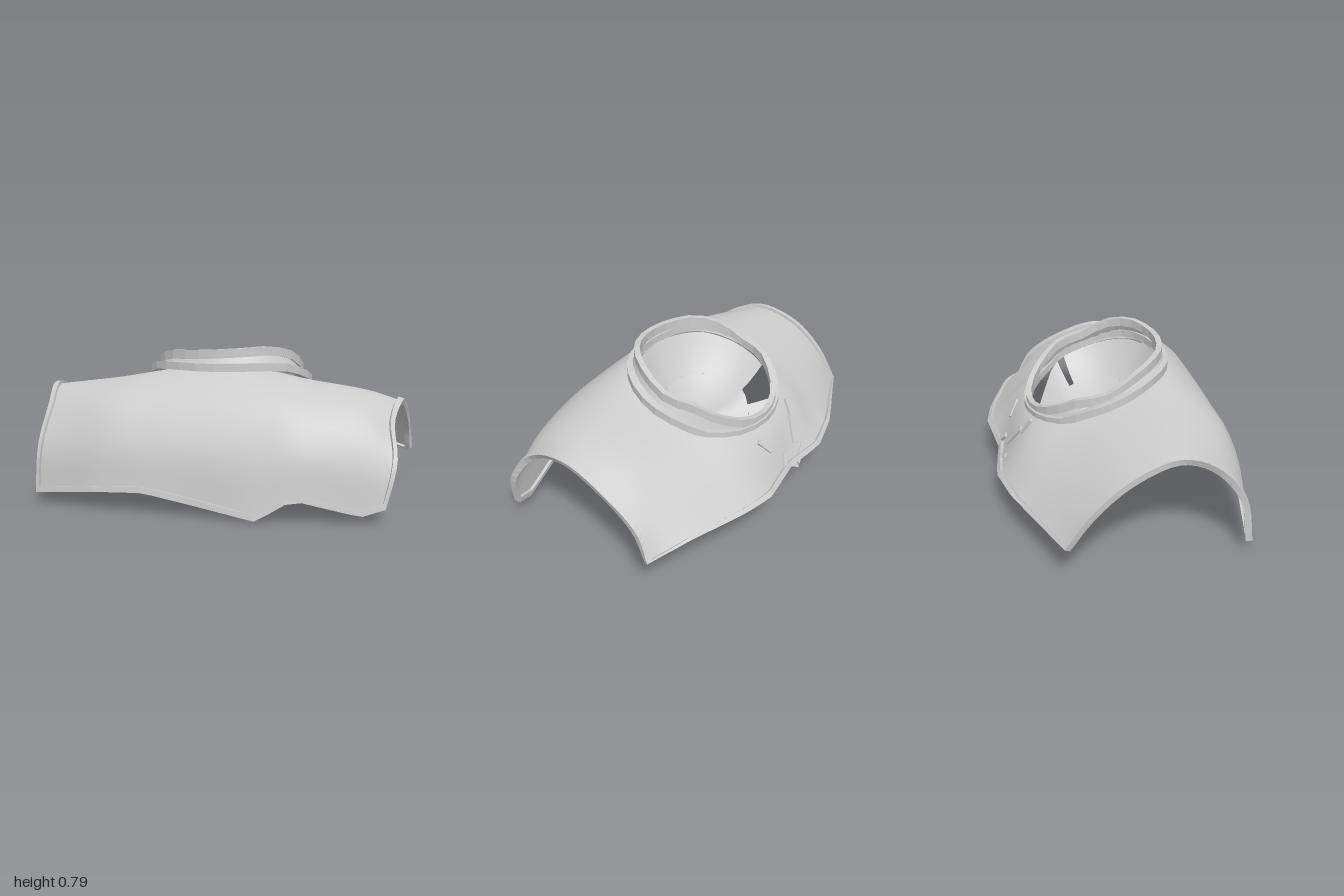
import * as THREE from 'three';

const V = (x, y, z) => new THREE.Vector3(x, y, z);
const D = Math.PI / 180;

// Piecewise linear lookup in a list of [key, value] pairs with rising keys
function lookup(table, k) {
  for (let i = 1; i < table.length; i++) {
    const [a, p] = table[i - 1], [b, q] = table[i];
    if (k <= b || i === table.length - 1) return p + (q - p) * THREE.MathUtils.clamp((k - a) / (b - a), 0, 1);
  }
}

// Skin between rows of points; wrapRow joins each row's ends, wrapAll joins last row to first
function loft(rows, wrapRow, wrapAll, flat) {
  const n = rows[0].length, m = rows.length, idx = [];
  for (let i = 0; i < (wrapAll ? m : m - 1); i++) {
    for (let j = 0; j < (wrapRow ? n : n - 1); j++) {
      const a = i * n + j, b = i * n + (j + 1) % n;
      const c = ((i + 1) % m) * n + j, d = ((i + 1) % m) * n + (j + 1) % n;
      idx.push(a, b, c, b, d, c);
    }
  }
  let geo = new THREE.BufferGeometry().setFromPoints(rows.flat());
  geo.setIndex(idx);
  if (flat) geo = geo.toNonIndexed();
  geo.computeVertexNormals();
  return geo;
}

// Draped cloth: cross-sections from front hem to back hem at stations across x
const sections = [
  [[-.87, .06, .52], [-.87, .29, .48], [-.875, .47, .34], [-.93, .57, .14], [-.97, .51, -.08], [-.98, .37, -.25], [-.97, .2, -.37]],
  [-.5, [.10, .60], [.34, .56], [.53, .45], [.63, .22], [.565, -.1], [.42, -.34], [.21, -.57]],
  [-.27, [.11, .61], [.34, .57], [.56, .44], [.67, .23], [.6, -.1], [.45, -.41], [.2, -.62]],
  [0, [.06, .61], [.34, .57], [.58, .43], [.69, .24], [.61, -.1], [.45, -.45], [.21, -.59]],
  [.29, [.01, .635], [.33, .575], [.56, .44], [.67, .23], [.6, -.1], [.45, -.41], [.22, -.635]],
  [.46, [.115, .61], [.34, .57], [.53, .45], [.635, .22], [.575, -.09], [.435, -.36], [.23, -.605]],
  [.77, [.04, .545], [.3, .51], [.49, .4], [.58, .17], [.53, -.1], [.395, -.32], [.24, -.5]],
  [[.88, .075, .52], [.925, .28, .47], [.9, .44, .345], [.935, .525, .11], [.955, .468, -.11], [.97, .34, -.32], [.98, .2, -.39]],
].map(s => new THREE.CatmullRomCurve3(typeof s[0] === 'number'
  ? s.slice(1).map(([y, z]) => V(s[0], y, z)) : s.map(p => V(...p))));
const stationIndex = [[-1, 0], [-.5, 1], [-.27, 2], [0, 3], [.29, 4], [.46, 5], [.77, 6], [1, 7]];

// Smooth over the body, with straight runs between the corners of the hems
function clothPoint(x, t) {
  const stations = sections.map(c => c.getPoint(THREE.MathUtils.clamp(t / 6, 0, 1)));
  const s = lookup(stationIndex, x), i = Math.min(Math.floor(s), 6);
  const straight = stations[i].clone().lerp(stations[i + 1], s - i);
  const smooth = new THREE.CatmullRomCurve3(stations).getPoint(s / 7);
  return smooth.lerp(straight, THREE.MathUtils.clamp(Math.abs(t - 3) - 2, 0, 1));
}

// Point on the cloth's outer rectangle, q running 0..4 around its sides
function perimeter(q) {
  const side = Math.floor(q) % 4, f = (q % 1) * 2 - 1;
  return [[f, -1], [1, f], [-f, 1], [-1, -f]][side];
}

// Rows of the cloth from the neck opening out to the hem
function clothRows() {
  const rows = [], count = 112, rings = 14;
  for (let k = 0; k <= rings; k++) {
    const row = [];
    for (let j = 0; j < count; j++) {
      const [px, pt] = perimeter(j * 4 / count);
      const a = Math.atan2(pt, px), f = k / rings;
      const hx = .01 + .4 * Math.cos(a), ht = 3.95 + 1.05 * Math.sin(a);
      row.push(clothPoint(hx + (px - hx) * f, ht + (3 + 3 * pt - ht) * f));
    }
    rows.push(row);
  }
  return rows;
}

// Rectangular trim folded along the hem
function hemTrim(rows) {
  const edge = rows.at(-1), inner = rows.at(-2), n = edge.length;
  return loft(edge.map((p, j) => {
    const along = edge[(j + 1) % n].clone().sub(edge[(j + n - 1) % n]);
    const inward = inner[j].clone().sub(p);
    const up = along.clone().cross(inward).normalize().multiplyScalar(.016);
    inward.normalize().multiplyScalar(.03);
    const q = p.clone().add(inward);
    return [p.clone().add(up), q.clone().add(up), q.clone().sub(up), p.clone().sub(up)];
  }), true, true, true);
}

// Neck ring heights against z
const lowerY = [[-.46, .455], [-.3, .51], [-.2, .57], [0, .64], [.15, .69], [.25, .7], [.31, .695]];
const upperY = [[-.46, .465], [-.35, .545], [-.22, .63], [-.1, .645], [.08, .735], [.18, .765], [.28, .762]];

function ringPoint(a, cz, rx, rz, table, tilt) {
  const x = .01 + rx * Math.cos(a), z = cz + rz * Math.sin(a);
  return V(x, lookup(table, z) + tilt * x, z);
}

// Flat-sided collar band of rectangular section
function neckBand(cz, rx, rz, table, tilt, h, w) {
  const rows = [];
  for (let i = 0; i < 28; i++) {
    const a = i / 28 * Math.PI * 2;
    const out = ringPoint(a, cz, rx, rz, table, tilt);
    const inn = out.clone().add(V(-w * Math.cos(a), 0, -w * Math.sin(a)));
    const up = V(0, h / 2, 0);
    rows.push([out.clone().sub(up), out.clone().add(up), inn.clone().add(up), inn.clone().sub(up)]);
  }
  return loft(rows, true, true, true);
}

// Wall linking the two bands all round the ring
function collarWall() {
  const rows = [[], []];
  for (let i = 0; i < 40; i++) {
    const a = i * 9 * D;
    rows[0].push(ringPoint(a, -.07, .41, .365, lowerY, 0));
    rows[1].push(ringPoint(a, -.08, .375, .345, upperY, .05));
  }
  return loft(rows, true, false, false);
}

// Piece of the sunken lining: hung from the neck, drooping free at the middle of the back
function liningPiece(from, to, start, end) {
  const rows = [], n = Math.max(4, Math.round((to - from) / 8));
  for (let k = 0; k <= 6; k++) {
    const f = start + (end - start) * k / 6, row = [];
    for (let i = 0; i <= n; i++) {
      const a = (from + (to - from) * i / n) * D;
      const rim = ringPoint(a, -.08, .385, .345, lowerY, 0);
      const droop = THREE.MathUtils.smoothstep(-Math.sin(a), .45, .95);
      const rimY = THREE.MathUtils.lerp(rim.y - .02, .26, droop);
      const y = THREE.MathUtils.lerp(.365, rimY, Math.pow(f, 2.3 - 1.3 * droop));
      row.push(V(.02 + (rim.x - .02) * f, y, -.08 + (rim.z + .08) * f));
    }
    rows.push(row);
  }
  return loft(rows, false, false, false);
}

export function createModel() {
  const group = new THREE.Group();
  const cloth = new THREE.MeshStandardMaterial({ color: 0xcccccc, side: THREE.DoubleSide });
  cloth.name = 'light grey cloth';
  const add = (name, geo) => {
    const mesh = new THREE.Mesh(geo, cloth);
    mesh.name = name;
    group.add(mesh);
    return mesh;
  };

  const rows = clothRows();
  add('cape', loft(rows, true, false, false));
  add('hemTrim', hemTrim(rows));
  add('lowerNeckBand', neckBand(-.07, .445, .38, lowerY, 0, .04, .04));
  add('upperNeckBand', neckBand(-.08, .395, .36, upperY, .05, .045, .03));
  add('collarWall', collarWall());

  // Lining with one long tear at the back and short tears near the rim
  for (const [from, to, start, end] of [[-81, 268, 0, .65], [-18, 203, .65, 1], [222, 268, .65, 1], [279, 335, .65, 1]]) {
    add('neckLining', liningPiece(from, to, start, end));
  }

  // Crumpled folds lying on the slope at the back fastening
  const folds = [[-.12, .23, -.59, .5, .12], [-.03, .21, -.59, -.6, .1], [.03, .25, -.58, .9, .1],
    [-.14, .35, -.525, 1.1, .15], [-.2, .43, -.465, 1.3, .1], [.12, .38, -.505, -1, .1]];
  for (const [x, y, z, turn, length] of folds) {
    const fold = add('backFold', new THREE.BoxGeometry(length, .012, .025));
    fold.position.set(x, y, z);
    fold.rotation.set(-1, turn, 0);
  }
  return group;
}
